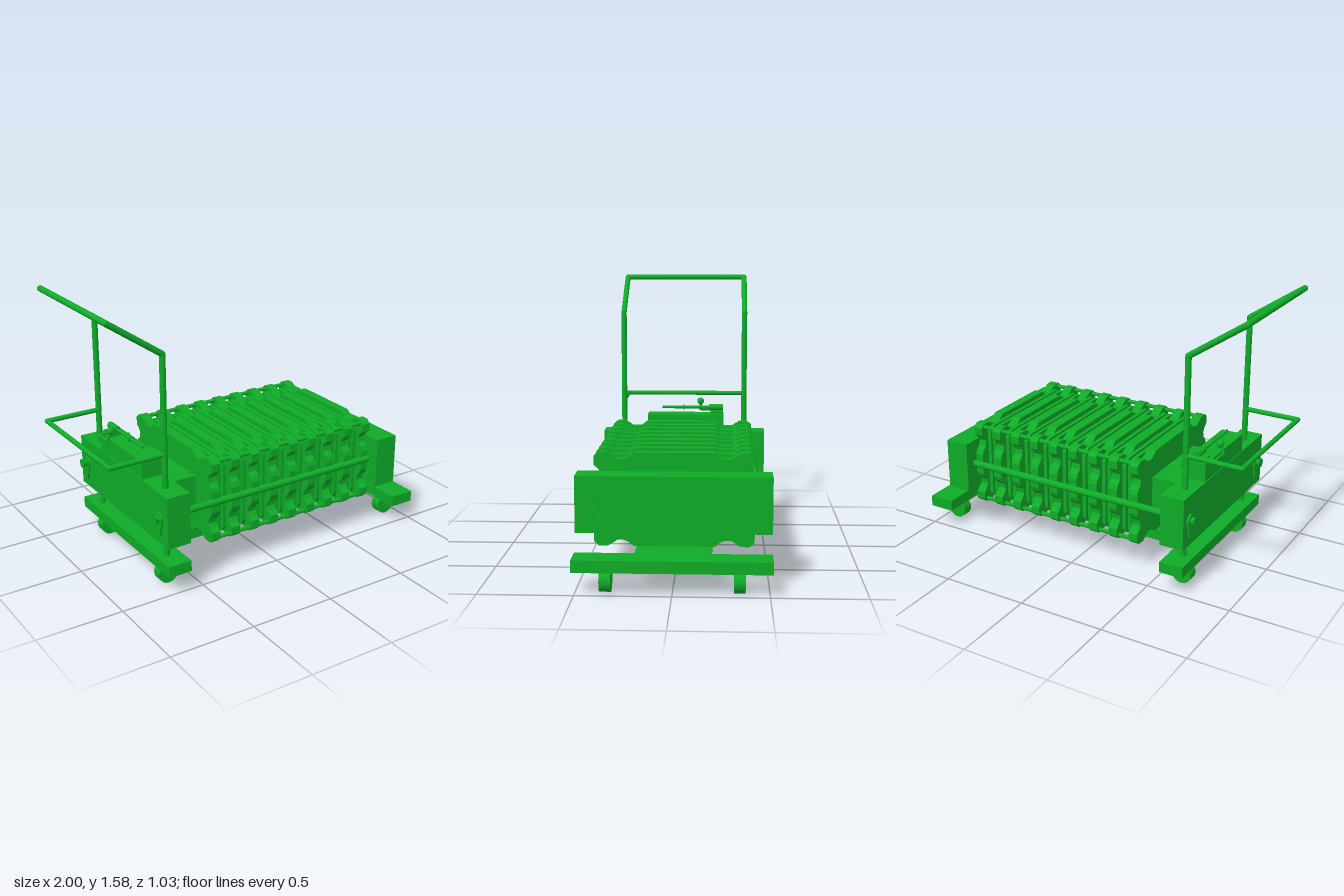
import * as THREE from 'three';

export function createModel() {
  const root = new THREE.Group();
  const mat = new THREE.MeshStandardMaterial({ color: 0x0fab28 });

  const add = (name, geo, x = 0, y = 0, z = 0) => {
    const m = new THREE.Mesh(geo, mat);
    m.name = name;
    m.position.set(x, y, z);
    root.add(m);
    return m;
  };
  // Box given by its limits on each axis
  const box = (name, x0, x1, y0, y1, z0, z1) =>
    add(name, new THREE.BoxGeometry(x1 - x0, y1 - y0, z1 - z0), (x0 + x1) / 2, (y0 + y1) / 2, (z0 + z1) / 2);
  // Round bar between two points
  const bar = (name, a, b, r0, r1 = r0, sides = 20) => {
    const p = new THREE.Vector3(...a), q = new THREE.Vector3(...b), d = q.clone().sub(p);
    const m = add(name, new THREE.CylinderGeometry(r1, r0, d.length(), sides));
    m.position.copy(p).add(q).multiplyScalar(0.5);
    m.quaternion.setFromUnitVectors(new THREE.Vector3(0, 1, 0), d.normalize());
    return m;
  };
  // Connected bars with a ball at every corner
  const pipe = (name, pts, r) => {
    for (let i = 0; i < pts.length - 1; i++) {
      bar(name, pts[i], pts[i + 1], r);
      if (i > 0) add(name + 'Elbow', new THREE.SphereGeometry(r, 16, 10), ...pts[i]);
    }
  };
  // Extrude a (z, y) outline along x, centred on its thickness
  const slab = (shape, thick) =>
    new THREE.ExtrudeGeometry(shape, { depth: thick, bevelEnabled: false, curveSegments: 8 })
      .translate(0, 0, -thick / 2).rotateY(Math.PI / 2);

  // Trolley base and wheels
  box('baseEndRear', -0.72, -0.58, 0.12, 0.185, -0.515, 0.515);
  box('baseEndFront', 0.85, 1.0, 0.12, 0.185, -0.515, 0.515);
  box('baseBeam', -0.58, 0.85, 0.12, 0.185, -0.2, 0.2);
  for (const x of [-0.645, 0.92]) for (const z of [-0.345, 0.345]) {
    bar('wheel', [x, 0.06, z - 0.03], [x, 0.06, z + 0.03], 0.059, 0.059, 32);
    box('wheelBracket', x - 0.02, x + 0.02, 0.06, 0.12, z - 0.015, z + 0.015);
  }

  // Handle frame and lower guard rail
  const hz = 0.385;
  pipe('handle', [[-0.66, 0.185, hz], [-0.66, 1.345, hz], [-0.975, 1.56, hz],
    [-0.975, 1.56, -hz], [-0.66, 1.345, -hz], [-0.66, 0.185, -hz]], 0.017);
  pipe('guardRail', [[-0.66, 0.785, hz], [-0.985, 0.785, hz], [-0.985, 0.785, -hz], [-0.66, 0.785, -hz]], 0.014);

  // End blocks and press ram
  box('rearBlock', -0.72, -0.58, 0.29, 0.59, -0.515, 0.51);
  box('controlHousing', -0.715, -0.585, 0.59, 0.695, -0.255, 0.23);
  box('frontBlock', 0.71, 0.85, 0.29, 0.59, -0.515, 0.51);
  box('frontPort', 0.85, 0.856, 0.327, 0.37, -0.025, 0.025);
  box('pressHead', -0.54, -0.39, 0.32, 0.54, -0.255, 0.25);
  box('ram', -0.58, -0.54, 0.43, 0.46, -0.16, 0.16);

  // Tie rods with teardrop washers and flared end nuts
  const drop = new THREE.Shape();
  drop.absarc(0, 0, 0.037, -0.2, Math.PI + 0.2, false);
  drop.lineTo(-0.016, -0.095);
  drop.absarc(0, -0.09, 0.016, Math.PI, Math.PI * 2, false);
  for (const z of [-0.44, 0.425]) {
    bar('tieRod', [-0.6, 0.443, z], [0.72, 0.443, z], 0.02);
    for (const [x, s] of [[-0.72, -1], [0.85, 1]]) {
      add('washer', slab(drop, 0.012), x + s * 0.006, 0.443, z);
      bar('nutNeck', [x, 0.443, z], [x + s * 0.025, 0.443, z], 0.02);
      bar('nutFlare', [x + s * 0.018, 0.443, z], [x + s * 0.038, 0.443, z], 0.016, 0.028);
    }
  }

  // Thick plate outline: one quarter mirrored into four, with dips beside the corner ears
  const quarter = [[0.425, 0], [0.425, 0.06], [0.415, 0.085], [0.39, 0.11], [0.385, 0.14], [0.4, 0.165],
    [0.425, 0.185], [0.425, 0.23], [0.4, 0.252], [0.355, 0.252], [0.325, 0.235], [0.3, 0.218],
    [0.27, 0.218], [0.245, 0.228], [0.215, 0.252], [0, 0.252]];
  const right = [...quarter.slice(1).reverse().map(([z, y]) => [z, -y]), ...quarter];
  const outline = [...right, ...right.slice(1, -1).reverse().map(([z, y]) => [-z, y])];
  const plateGeo = slab(new THREE.Shape(outline.map(p => new THREE.Vector2(...p))), 0.055);

  // Thin sheet outline with rounded corners
  const w = 0.38, h = 0.232, r = 0.05;
  const sheet = new THREE.Shape();
  sheet.absarc(w - r, h - r, r, 0, Math.PI / 2);
  sheet.absarc(r - w, h - r, r, Math.PI / 2, Math.PI);
  sheet.absarc(r - w, r - h, r, Math.PI, Math.PI * 1.5);
  sheet.absarc(w - r, r - h, r, Math.PI * 1.5, Math.PI * 2);
  const sheetGeo = slab(sheet, 0.022);

  // Plate pack
  for (let i = 0; i < 9; i++) {
    const x = -0.363 + i * 0.1315;
    add('pressPlate', plateGeo, x, 0.438, 0);
    if (i < 8) for (const d of [0.047, 0.083]) add('filterSheet', sheetGeo, x + d, 0.438, 0);
  }
  // Rods through the corner ears
  for (const y of [0.205, 0.67]) for (const z of [-0.395, 0.395])
    bar('earRod', [-0.385, y, z], [0.71, y, z], 0.012);

  // Hand pump and valve on the control housing
  box('pumpBase', -0.7, -0.61, 0.69, 0.715, -0.25, -0.17);
  bar('pumpCylinder', [-0.655, 0.735, -0.25], [-0.655, 0.735, -0.16], 0.02);
  bar('pumpLever', [-0.655, 0.735, -0.16], [-0.655, 0.735, 0.14], 0.009);
  bar('leverCollar', [-0.655, 0.735, -0.002], [-0.655, 0.735, 0.002], 0.018);
  pipe('pumpPipe', [[-0.66, 0.708, -0.21], [-0.75, 0.708, -0.21], [-0.75, 0.708, -0.105], [-0.728, 0.765, -0.105]], 0.008);
  add('pipeKnob', new THREE.SphereGeometry(0.022, 20, 14), -0.728, 0.765, -0.105);
  bar('valveStem', [-0.585, 0.65, -0.21], [-0.565, 0.65, -0.21], 0.012);
  bar('valveWheel', [-0.567, 0.65, -0.21], [-0.557, 0.65, -0.21], 0.028);

  return root;
}
